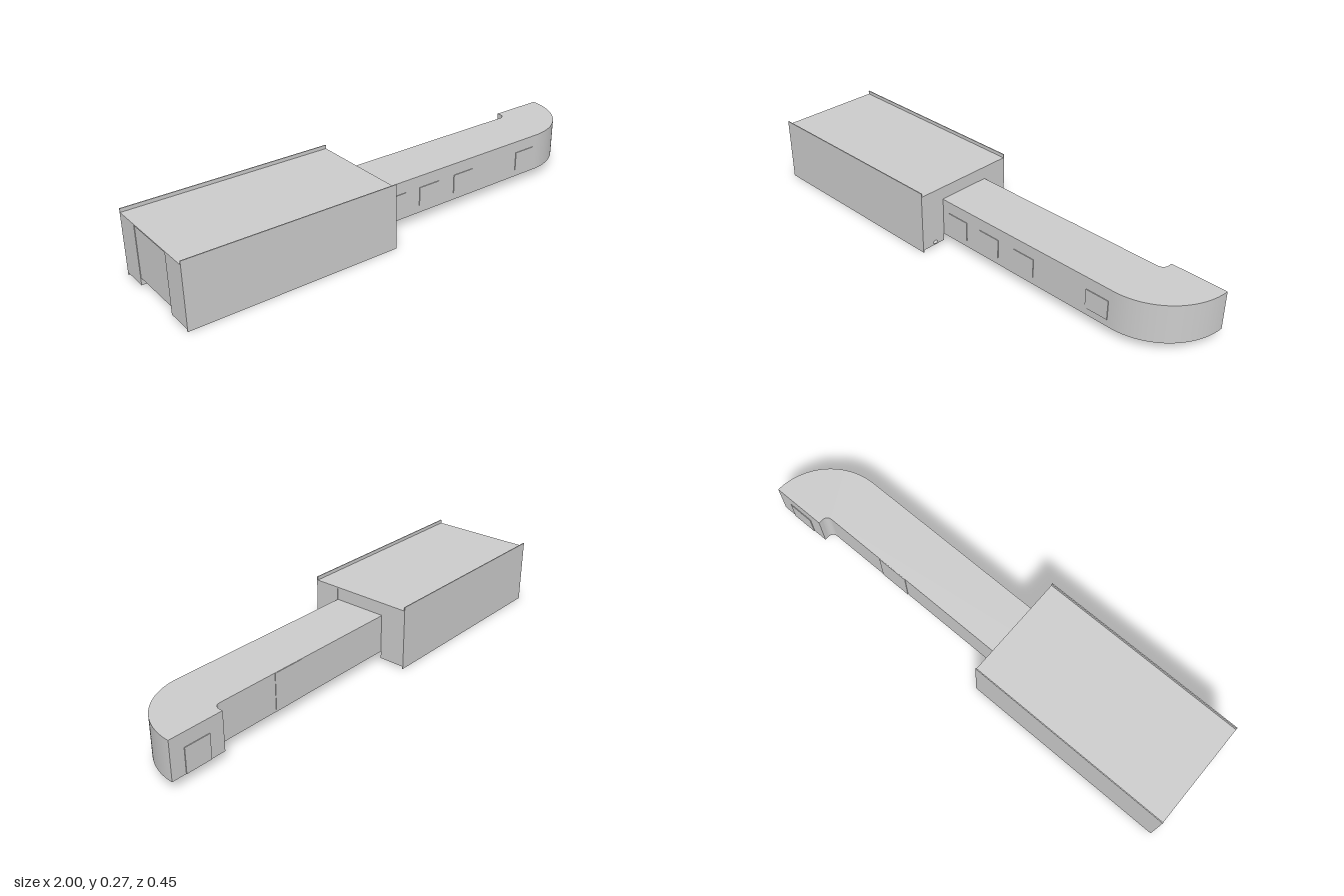
import * as THREE from 'three';

export function createModel() {
  const model = new THREE.Group();
  const grey = new THREE.MeshStandardMaterial({ color: 0xcccccc });
  grey.name = 'light grey';

  // Box given by its minimum and maximum corners
  function box(name, [x0, y0, z0], [x1, y1, z1]) {
    const mesh = new THREE.Mesh(new THREE.BoxGeometry(x1 - x0, y1 - y0, z1 - z0), grey);
    mesh.position.set((x0 + x1) / 2, (y0 + y1) / 2, (z0 + z1) / 2);
    mesh.name = name;
    model.add(mesh);
    return mesh;
  }

  const back = -0.113, front = 0.117, tip = -0.157, end = -0.125;

  // Housing: two side blocks, thin outer panels, ceiling and roof
  box('frontBlock', [-1, 0.01, front], [end, 0.25, 0.224]);
  box('backBlock', [-1, 0.01, -0.221], [end, 0.25, back]);
  box('frontPanel', [-1, 0, 0.224], [end, 0.27, 0.228]);
  box('backPanel', [-1, 0, -0.225], [end, 0.27, -0.221]);
  box('ceiling', [-0.998, 0.198, back], [end - 0.002, 0.25, front]);
  box('roof', [-1, 0.25, -0.221], [end, 0.255, 0.224]);

  // Arm: plan outline with a curved end, drawn with shape y = -z
  const outline = new THREE.Shape();
  outline.moveTo(-0.998, -front);
  outline.lineTo(0.726, -front);
  outline.absarc(0.726, -tip, front - tip, -Math.PI / 2, 0, false);
  outline.lineTo(0.768, -tip);
  outline.lineTo(0.768, 0.138);
  outline.quadraticCurveTo(0.765, -back, 0.738, -back);
  outline.lineTo(-0.998, -back);
  outline.closePath();
  const armGeometry = new THREE.ExtrudeGeometry(outline, {
    depth: 0.16, bevelEnabled: false, curveSegments: 24,
  });
  armGeometry.rotateX(-Math.PI / 2);
  const arm = new THREE.Mesh(armGeometry, grey);
  arm.position.y = 0.04;
  arm.name = 'arm';
  model.add(arm);

  // Thin panels along the front of the arm
  [0.01, 0.18, 0.36, 0.71].forEach((x, i) => {
    box('sidePanel' + (i + 1), [x - 0.1, 0.07, front], [x, 0.15, front + 0.003]);
  });

  // Doors on the back of the arm and on its tip
  box('backDoor', [0.34, 0.041, back - 0.002], [0.477, 0.199, back]);
  box('tipDoor', [0.83, 0.041, tip - 0.003], [0.94, 0.143, tip]);

  // Small knob low on the housing end
  const knob = new THREE.Mesh(new THREE.SphereGeometry(0.01, 12, 8), grey);
  knob.scale.set(0.6, 0.7, 1.1);
  knob.position.set(end + 0.002, 0.022, 0.165);
  knob.name = 'knob';
  model.add(knob);

  return model;
}
